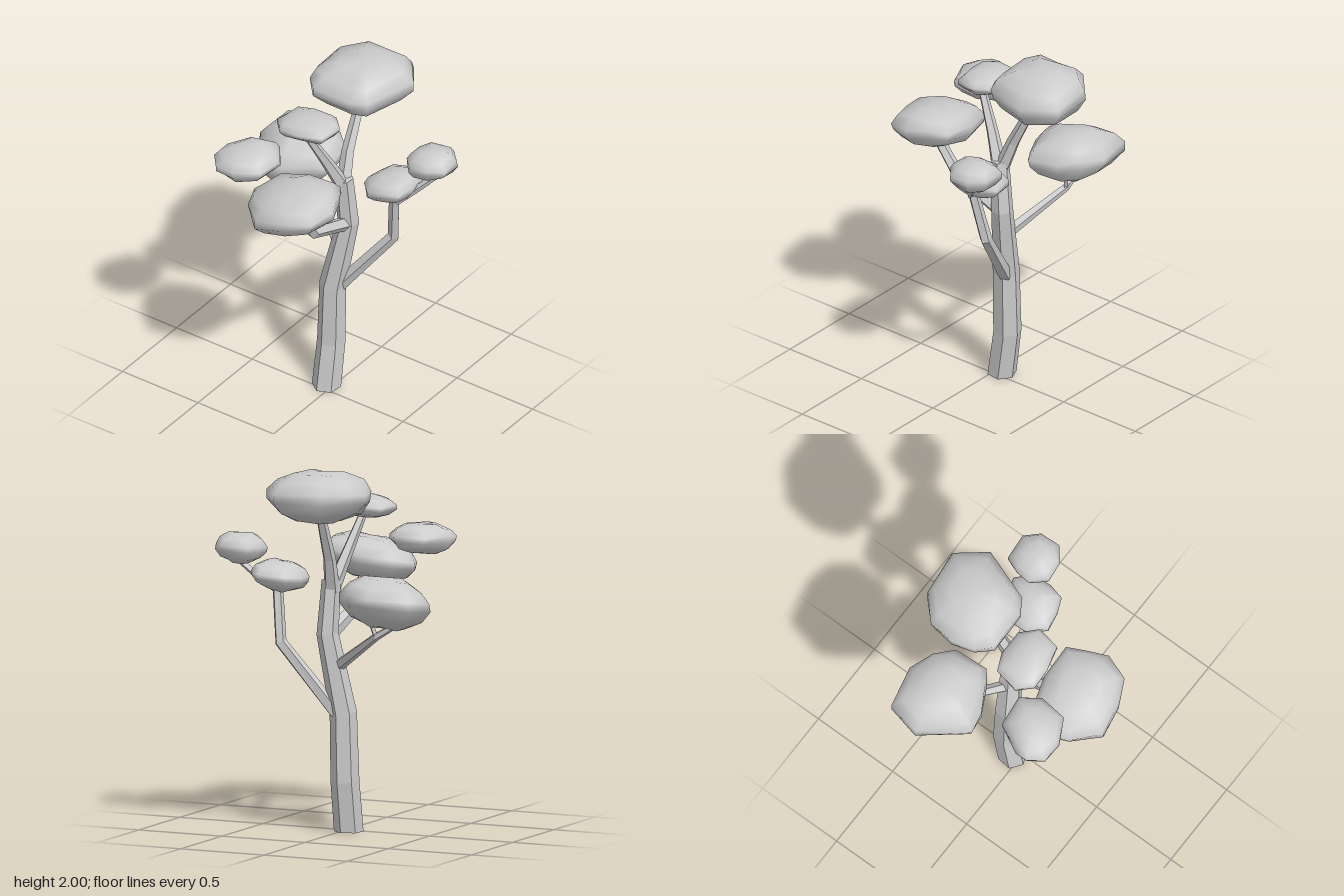
import * as THREE from 'three';

const barkMaterial = new THREE.MeshStandardMaterial({ color: 0xcccccc, flatShading: true });
const leafMaterial = new THREE.MeshStandardMaterial({ color: 0xcccccc });
const V = (x, y, z) => new THREE.Vector3(x, y, z);

// Skin a stack of equal-length rings (counter-clockwise seen from the end), closed by a fan at each end
function loft(rings, startTip, endTip) {
  const n = rings[0].length;
  const points = [...rings.flat(), startTip, endTip];
  const start = points.length - 2, end = start + 1, last = (rings.length - 1) * n;
  const index = [];
  for (let j = 0; j < n; j++) {
    const k = (j + 1) % n;
    for (let i = 0; i < rings.length - 1; i++) {
      const a = i * n + j, b = i * n + k;
      index.push(a, b, b + n, a, b + n, a + n);
    }
    index.push(start, k, j, end, last + j, last + k);
  }
  const geometry = new THREE.BufferGeometry().setFromPoints(points);
  geometry.setIndex(index);
  geometry.computeVertexNormals();
  return geometry;
}

// Tapered faceted limb; each path entry is [x, y, z, radius]
function limb(name, path, sides, phase = 0) {
  const centres = path.map(([x, y, z]) => V(x, y, z));
  const rings = centres.map((c, i) => {
    const before = centres[Math.max(i - 1, 0)], after = centres[Math.min(i + 1, centres.length - 1)];
    const t = c.y === 0 ? V(0, 1, 0) : after.clone().sub(before).normalize();
    const side = Math.abs(t.x) > 0.6 ? V(0, 0, 1) : V(1, 0, 0);
    const u = side.addScaledVector(t, -side.dot(t)).normalize();
    const v = t.clone().cross(u);
    return Array.from({ length: sides }, (_, j) => {
      const a = phase + j / sides * Math.PI * 2;
      return c.clone().addScaledVector(u, Math.cos(a) * path[i][3]).addScaledVector(v, Math.sin(a) * path[i][3]);
    });
  });
  const mesh = new THREE.Mesh(loft(rings, centres[0], centres[centres.length - 1]), barkMaterial);
  mesh.name = name;
  return mesh;
}

// Rounded leaf pad: plan outline [x, z], middle height, half thickness and lean along x and z
const PROFILE = [[0.42, -0.93], [0.78, -0.62], [0.97, -0.15], [0.98, 0.2], [0.82, 0.62], [0.48, 0.92]];
function leafPad(name, outline, y, half, leanX, leanZ) {
  const xs = outline.map(p => p[0]), zs = outline.map(p => p[1]);
  const cx = (Math.min(...xs) + Math.max(...xs)) / 2, cz = (Math.min(...zs) + Math.max(...zs)) / 2;
  const sorted = outline.map(([x, z]) => [x - cx, z - cz])
    .sort((p, q) => Math.atan2(p[0], p[1]) - Math.atan2(q[0], q[1]));
  const rings = PROFILE.map(([s, h], i) => sorted.map(([x, z], j) => {
    const wobble = Math.sin(j * 2.3 + i * 1.7 + cx * 9);
    const k = Math.min(1, s * (1 + 0.05 * wobble) + (i === 2 || i === 3 ? 0.03 : 0));
    const height = half * (h + 0.06 * Math.sin(j * 1.9 + i + cz * 7));
    return V(cx + x * k, y + height + (x * leanX + z * leanZ) * k, cz + z * k);
  }));
  const mesh = new THREE.Mesh(loft(rings, V(cx, y - half, cz), V(cx, y + half, cz)), leafMaterial);
  mesh.name = name;
  return mesh;
}

export function createModel() {
  const tree = new THREE.Group();
  tree.name = 'tree';

  // Trunk and branches
  const wood = new THREE.Group();
  wood.name = 'wood';
  wood.add(
    limb('trunk', [[-0.035, 0, -0.04, 0.08], [-0.032, 0.28, -0.08, 0.078], [-0.022, 0.65, -0.08, 0.074],
      [0.055, 1.08, -0.115, 0.06], [0.045, 1.37, -0.09, 0.052]], 6, 0.4),
    limb('topFrontBranch', [[0.045, 1.31, -0.09, 0.045], [0.0, 1.5, 0.0, 0.033], [-0.05, 1.73, 0.12, 0.022]], 5),
    limb('topBackBranch', [[0.04, 1.3, -0.09, 0.045], [0.02, 1.5, -0.165, 0.036], [0.01, 1.77, -0.3, 0.026]], 5),
    limb('frontBranch', [[0.055, 1.07, -0.1, 0.042], [0.05, 1.18, 0.2, 0.036], [0.055, 1.34, 0.32, 0.03]], 5),
    limb('leftBranch', [[0.01, 0.65, -0.1, 0.04], [0.295, 1.03, -0.2, 0.034], [0.345, 1.36, -0.14, 0.03]], 5),
    limb('leftTwig', [[0.35, 1.31, -0.14, 0.024], [0.43, 1.38, -0.2, 0.02], [0.56, 1.51, -0.27, 0.015]], 4),
    limb('rightBranch', [[0.01, 0.9, -0.1, 0.034], [-0.31, 1.11, -0.26, 0.022], [-0.43, 1.18, -0.26, 0.016]], 5),
    limb('rightTwig', [[-0.31, 1.1, -0.26, 0.015], [-0.27, 1.24, -0.29, 0.012]], 4),
  );
  tree.add(wood);

  // Foliage
  const foliage = new THREE.Group();
  foliage.name = 'foliage';
  foliage.add(
    leafPad('topFoliage', [[0.15, -0.59], [0.27, -0.42], [0.17, -0.13], [0.085, -0.08], [-0.15, -0.075],
      [-0.23, -0.15], [-0.26, -0.28], [-0.25, -0.43], [-0.12, -0.56]], 1.86, 0.14, 0, -0.03),
    leafPad('smallTopFoliage', [[-0.215, -0.01], [-0.115, -0.055], [0.025, -0.05], [0.11, 0.035], [0.085, 0.17],
      [-0.05, 0.205], [-0.17, 0.21], [-0.24, 0.13]], 1.765, 0.063, 0.07, 0),
    leafPad('frontFoliage', [[0.195, 0.145], [0.25, 0.24], [0.295, 0.36], [0.25, 0.5], [0.11, 0.565],
      [-0.06, 0.59], [-0.2, 0.46], [-0.25, 0.33], [-0.18, 0.2], [0, 0.14]], 1.435, 0.12, 0.15, -0.1),
    leafPad('frontRightFoliage', [[-0.39, 0.155], [-0.215, 0.135], [-0.14, 0.24], [-0.16, 0.4], [-0.29, 0.47],
      [-0.41, 0.46], [-0.475, 0.385], [-0.47, 0.31]], 1.57, 0.085, 0.03, -0.05),
    leafPad('rightFoliage', [[-0.36, -0.49], [-0.22, -0.44], [-0.13, -0.35], [-0.11, -0.16], [-0.17, -0.11],
      [-0.33, -0.03], [-0.44, -0.01], [-0.63, -0.25], [-0.59, -0.44]], 1.295, 0.14, 0.07, -0.1),
    leafPad('leftFoliage', [[0.37, -0.34], [0.22, -0.3], [0.17, -0.2], [0.17, -0.1], [0.25, -0.015],
      [0.35, -0.03], [0.43, -0.06], [0.45, -0.15], [0.44, -0.27]], 1.39, 0.08, 0.15, 0),
    leafPad('farLeftFoliage', [[0.4, -0.4], [0.545, -0.41], [0.62, -0.34], [0.62, -0.22], [0.54, -0.155],
      [0.43, -0.15], [0.36, -0.23], [0.365, -0.32]], 1.545, 0.082, 0.06, 0),
  );
  tree.add(foliage);
  return tree;
}
